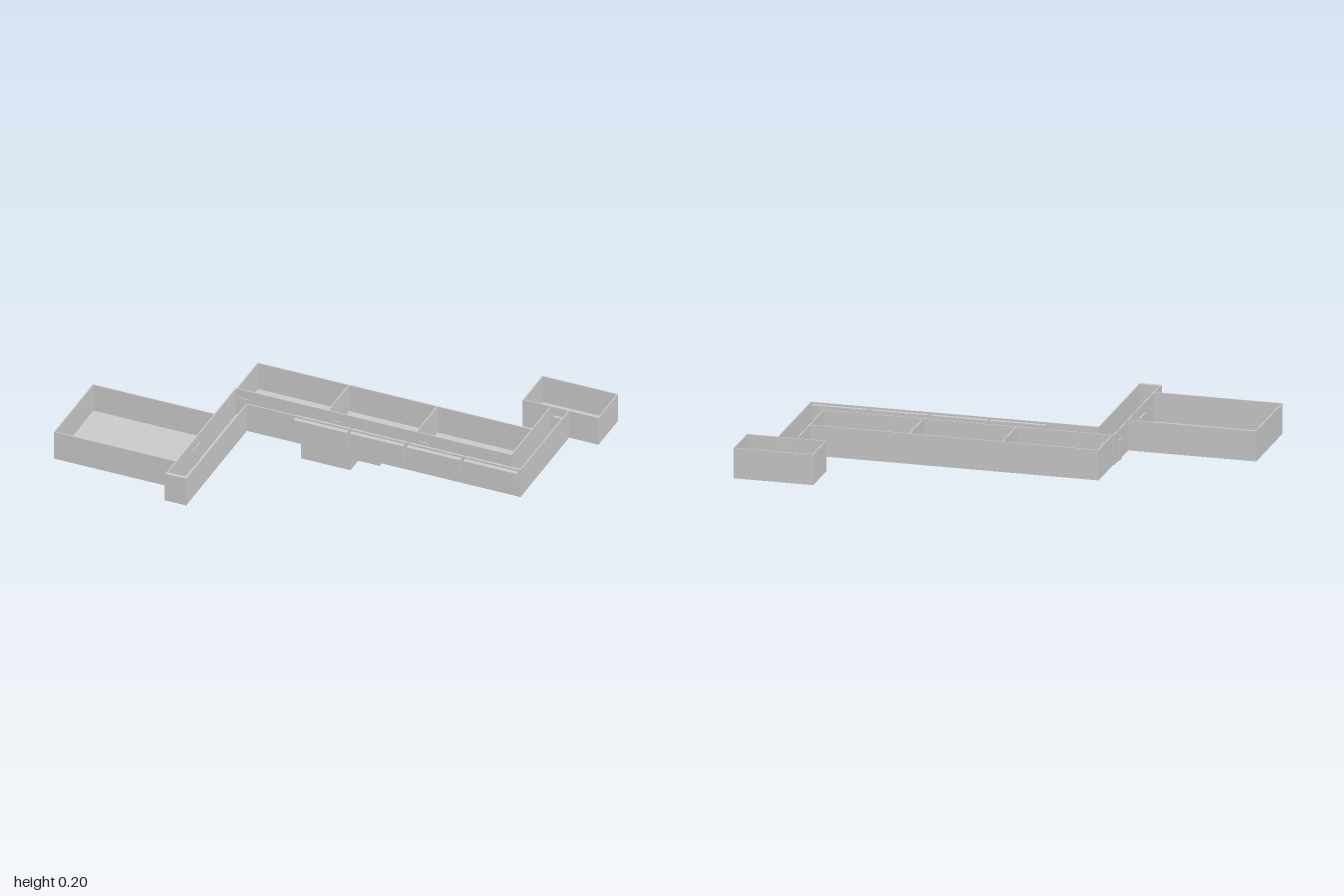
import * as THREE from 'three';

const FLOOR = 0.07, TOP = 0.2, T = 0.005;

export function createModel() {
  const model = new THREE.Group();
  const material = new THREE.MeshStandardMaterial({ color: 0xcccccc, flatShading: true });

  // Box given by its minimum and maximum corners
  function box(name, x0, x1, y0, y1, z0, z1, parent = model) {
    const mesh = new THREE.Mesh(new THREE.BoxGeometry(x1 - x0, y1 - y0, z1 - z0), material);
    mesh.position.set((x0 + x1) / 2, (y0 + y1) / 2, (z0 + z1) / 2);
    mesh.name = name;
    parent.add(mesh);
  }

  const floors = new THREE.Group();
  floors.name = 'floors';
  const walls = new THREE.Group();
  walls.name = 'walls';
  const doors = new THREE.Group();
  doors.name = 'doors';
  const windows = new THREE.Group();
  windows.name = 'windows';
  model.add(floors, walls, doors, windows);

  // Floor slabs: x0, x1, z0, z1
  [
    ['sideRoomFloor', -1, -0.455, 0.155, 0.548],
    ['sideCorridorFloor', -0.455, -0.362, -0.053, 0.65],
    ['classroomFloor', -0.45, 0.778, -0.267, -0.053],
    ['mainCorridorFloor', -0.362, 0.778, -0.053, 0.037],
    ['backCorridorFloor', 0.778, 0.863, -0.452, 0.037],
    ['backRoomFloor', 0.655, 0.995, -0.65, -0.452],
  ].forEach(([name, x0, x1, z0, z1]) => box(name, x0, x1, FLOOR, FLOOR + T, z0, z1, floors));

  // Walls along x: x0, x1, outer z, direction in which the thickness grows
  [
    [-1, -0.45, 0.155, 1], [-1, -0.45, 0.548, -1],
    [-0.455, -0.362, 0.65, -1],
    [-0.45, 0.778, -0.267, 1], [-0.45, 0.778, -0.053, -1],
    [-0.362, 0.863, 0.037, -1],
    [0.655, 0.995, -0.65, 1], [0.655, 0.995, -0.452, -1],
  ].forEach(([x0, x1, z, d]) =>
    box('wall', x0, x1, FLOOR, TOP, Math.min(z, z + d * T), Math.max(z, z + d * T), walls));

  // Walls along z: outer x, z0, z1, direction in which the thickness grows
  [
    [-1, 0.155, 0.548, 1],
    [-0.455, -0.053, 0.65, 1], [-0.362, 0.037, 0.65, -1],
    [-0.45, -0.267, -0.053, 1], [-0.042, -0.267, -0.053, 1],
    [0.353, -0.267, -0.053, 1],
    [0.778, -0.452, -0.053, 1], [0.863, -0.452, 0.037, -1],
    [0.655, -0.65, -0.452, 1], [0.995, -0.65, -0.452, -1],
  ].forEach(([x, z0, z1, d]) =>
    box('wall', Math.min(x, x + d * T), Math.max(x, x + d * T), FLOOR, TOP, z0, z1, walls));

  // Doors of the classrooms, the side corridor and the back room
  for (const x of [-0.437, -0.02, 0.37]) box('classroomDoor', x, x + 0.042, FLOOR, 0.16, -0.061, -0.049, doors);
  box('outsideDoor', -0.459, -0.448, FLOOR, 0.16, 0.005, 0.052, doors);
  box('sideRoomDoor', -0.463, -0.447, FLOOR, 0.16, 0.315, 0.395, doors);
  box('backRoomDoor', 0.797, 0.842, FLOOR, 0.16, -0.459, -0.44, doors);
  box('entranceDoor', -0.458, -0.36, FLOOR, TOP, 0.634, 0.65, doors);

  // Row of windows standing out of the front wall
  for (const x of [-0.145, 0.107, 0.361, 0.615]) box('window', x, x + 0.238, 0.122, 0.192, 0.016, 0.057, windows);

  // Basement with the landing above it
  box('basement', -0.121, 0.102, 0, FLOOR + 0.002, -0.052, 0.037);
  box('landing', -0.11, 0.232, 0.055, FLOOR + T + 0.003, -0.046, 0.036);

  return model;
}
